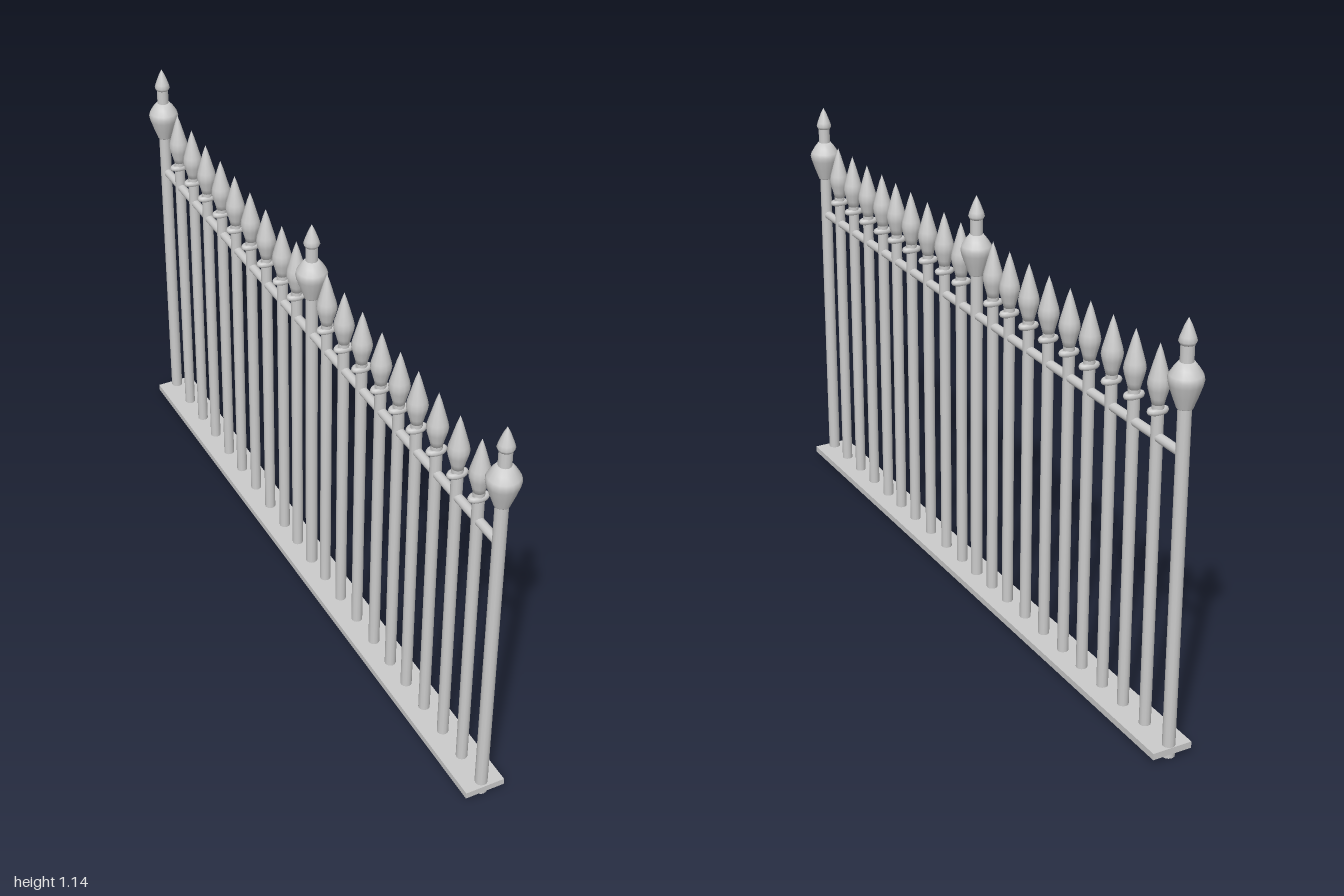
import * as THREE from 'three';

const material = new THREE.MeshStandardMaterial({ color: 0xcccccc });

function add(parent, name, geometry, x = 0, y = 0, z = 0) {
  const mesh = new THREE.Mesh(geometry, material);
  mesh.name = name;
  mesh.position.set(x, y, z);
  parent.add(mesh);
  return mesh;
}

// Turned solid from [radius, height] pairs, bottom to top
const turned = (pairs, sides) =>
  new THREE.LatheGeometry(pairs.map(([r, y]) => new THREE.Vector2(r, y)), sides);

export function createModel() {
  const fence = new THREE.Group();
  fence.name = 'fence';

  // Base plate and upper rail
  add(fence, 'basePlate', new THREE.BoxGeometry(0.11, 0.018, 1.952), 0, 0.022, 0.002);
  const rail = add(fence, 'upperRail', new THREE.CylinderGeometry(0.012, 0.012, 1.888, 12), 0, 0.812, 0.002);
  rail.rotation.x = Math.PI / 2;

  // Shared geometries
  const postShaft = new THREE.CylinderGeometry(0.0165, 0.0165, 0.94, 12);
  const postBulb = turned([
    [0, 0.926], [0.02, 0.926], [0.02, 0.927], [0.031, 0.957], [0.04, 0.984], [0.0428, 0.998],
    [0.04, 1.008], [0.03, 1.024], [0.019, 1.038], [0, 1.039],
  ], 16);
  const postNeck = new THREE.CylinderGeometry(0.0165, 0.0165, 0.06, 12);
  const postTip = turned([
    [0, 1.08], [0.018, 1.08], [0.022, 1.088], [0.019, 1.099], [0.009, 1.126], [0, 1.144],
  ], 12);

  const picketShaft = new THREE.CylinderGeometry(0.015, 0.015, 0.895, 12);
  const picketCollar = new THREE.TorusGeometry(0.0205, 0.0085, 8, 16);
  picketCollar.rotateX(Math.PI / 2);
  picketCollar.scale(1, 1, 0.58);
  const picketSpear = turned([
    [0, 0.89], [0.014, 0.89], [0.019, 0.91], [0.025, 0.931], [0.0275, 0.946],
    [0.025, 0.961], [0.017, 0.99], [0.008, 1.022], [0, 1.045],
  ], 12);

  // Tall posts at the ends and middle
  for (const z of [0.957, 0.009, -0.957]) {
    const post = new THREE.Group();
    post.name = 'post';
    post.position.z = z;
    add(post, 'postShaft', postShaft, 0, 0.47);
    add(post, 'postBulb', postBulb);
    add(post, 'postNeck', postNeck, 0, 1.055);
    add(post, 'postTip', postTip);
    fence.add(post);
  }

  // Spear-headed pickets, slightly unevenly spaced
  const picketPositions = [
    0.86, 0.763, 0.665, 0.568, 0.48, 0.387, 0.287, 0.19, 0.095,
    -0.08, -0.166, -0.264, -0.362, -0.461, -0.555, -0.655, -0.752, -0.852,
  ];
  for (const z of picketPositions) {
    const picket = new THREE.Group();
    picket.name = 'picket';
    picket.position.z = z;
    add(picket, 'picketShaft', picketShaft, 0, 0.4475);
    add(picket, 'picketCollar', picketCollar, 0, 0.877);
    add(picket, 'picketSpear', picketSpear);
    fence.add(picket);
  }

  return fence;
}
